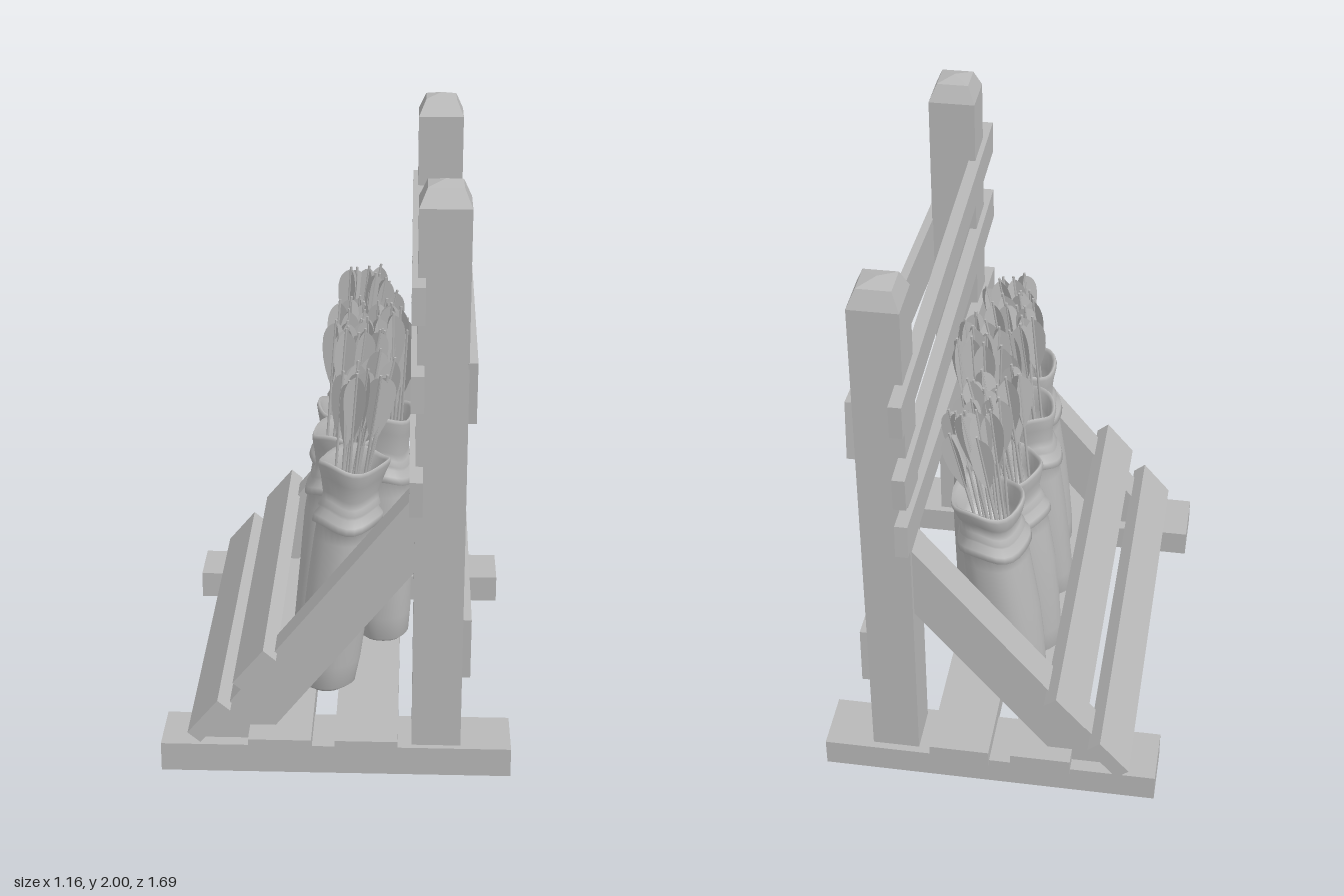
import * as THREE from 'three';
import { mergeVertices, mergeGeometries } from 'three/addons/utils/BufferGeometryUtils.js';

const gray = new THREE.MeshStandardMaterial({ color: 0xb8b8b8, side: THREE.DoubleSide });
gray.name = 'plain gray';

let seed = 11;
const rnd = () => (seed = (seed * 16807) % 2147483647) / 2147483647;

function add(parent, name, geo, x = 0, y = 0, z = 0) {
  const m = new THREE.Mesh(geo, gray);
  m.name = name;
  m.position.set(x, y, z);
  parent.add(m);
  return m;
}
const box = (w, h, d) => new THREE.BoxGeometry(w, h, d);

// Square post with bevelled, slightly peaked top
function postGeometry() {
  const profile = [[0, 0.1], [0.081, 0.1], [0.081, 1.925], [0.055, 1.985], [0, 2]]
    .map(([r, y]) => new THREE.Vector2(r * Math.SQRT2, y));
  const g = new THREE.LatheGeometry(profile, 4).rotateY(Math.PI / 4).toNonIndexed();
  g.computeVertexNormals();
  return g;
}

// Diagonal brace, outline in the x-y plane
function braceGeometry(depth) {
  const s = new THREE.Shape([[-0.46, 0.1], [-0.24, 0.1], [0.255, 0.72], [0.255, 0.99]]
    .map(([x, y]) => new THREE.Vector2(x, y)));
  return new THREE.ExtrudeGeometry(s, { depth, bevelEnabled: false }).translate(0, 0, -depth / 2);
}

// Horizontal offset of a leaning sack at height y
const leanAt = (s, y) => s.x0 + (s.x1 - s.x0) * (y - 0.15) / 0.83;

// Soft sack: body, cuff, tied neck, flared mouth and inside wall
function sackGeometry(s) {
  const n = s.neck;
  const t = s.top;
  const profile = [
    [0.001, 0.145], [0.07, 0.145], [0.094, 0.165], [0.102, 0.25], [0.108, 0.4], [0.111, 0.55],
    [0.107, n - 0.08], [0.104, n - 0.03], [0.121, n - 0.025], [0.118, n], [0.1, n + 0.022],
    [0.106, n + 0.035], [0.096, n + 0.055], [0.093, n + 0.08], [0.105, t - 0.06],
    [0.118, t - 0.015], [0.114, t], [0.102, t - 0.01], [0.088, t - 0.08], [0.08, n], [0.001, n],
  ].map(([r, y]) => new THREE.Vector2(r, y));
  let g = new THREE.LatheGeometry(profile, 28);
  g.deleteAttribute('uv');
  g.deleteAttribute('normal');
  g = mergeVertices(g, 1e-5);
  const p = g.attributes.position;
  for (let i = 0; i < p.count; i++) {
    const x = p.getX(i), y = p.getY(i), z = p.getZ(i);
    const a = Math.atan2(z, x);
    // Gentle creases, stronger around the cuff and mouth
    const k = s.size * (1 + 0.025 * Math.sin(2 * a + 7 * y + s.phase) + 0.02 * Math.sin(5 * a + s.phase));
    const dy = y > n - 0.04 ? 0.012 * Math.sin(3 * a + s.phase) : 0;
    p.setXYZ(i, leanAt(s, y) + x * k, y + dy, s.z + z * k);
  }
  g.computeVertexNormals();
  return g;
}

// One arrow: thin shaft with three leaf-shaped vanes, tip end at the origin
function arrowGeometry(length) {
  const parts = [new THREE.CylinderGeometry(0.005, 0.005, length, 5).translate(0, -length / 2, 0).toNonIndexed()];
  const leaf = new THREE.Shape();
  leaf.moveTo(0, -0.24);
  leaf.bezierCurveTo(0.025, -0.19, 0.045, -0.13, 0.042, -0.07);
  leaf.quadraticCurveTo(0.038, -0.02, 0, -0.01);
  for (let i = 0; i < 3; i++) {
    const v = new THREE.ShapeGeometry(leaf, 5).rotateY(i * Math.PI * 2 / 3);
    parts.push(v.toNonIndexed());
  }
  return mergeGeometries(parts);
}

function bundle(s) {
  const g = new THREE.Group();
  g.name = 'arrowSack';
  add(g, 'sack', sackGeometry(s));
  const up = new THREE.Vector3(0, 1, 0);
  const count = 13;
  for (let i = 0; i < count; i++) {
    const a = i * 2.4 + s.phase;
    const f = Math.sqrt((i + 0.5) / count);
    const tipY = s.top + 0.27 + 0.12 * rnd();
    const cx = Math.min(leanAt(s, tipY) + 0.01, 0.145);
    const base = new THREE.Vector3(leanAt(s, s.neck) + 0.06 * f * Math.cos(a), s.neck, s.z + 0.06 * f * Math.sin(a));
    const tip = new THREE.Vector3(Math.min(cx + 0.1 * f * Math.cos(a + 0.3), 0.22), tipY, s.z + 0.1 * f * Math.sin(a + 0.3));
    const dir = tip.clone().sub(base);
    const arrow = add(g, 'arrow', arrowGeometry(dir.length()), tip.x, tip.y, tip.z);
    arrow.quaternion.setFromUnitVectors(up, dir.normalize());
    arrow.rotateY(rnd() * 6.28);
  }
  return g;
}

export function createModel() {
  const model = new THREE.Group();
  model.name = 'arrowRack';

  // Feet, posts and braces at both ends
  for (const [footZ, postZ, braceZ] of [[0.645, 0.648, 0.643], [-0.66, -0.658, -0.658]]) {
    add(model, 'foot', box(1.16, 0.1, 0.21), 0, 0.05, footZ);
    add(model, 'post', postGeometry(), 0.332, 0, postZ);
    add(model, 'brace', braceGeometry(0.118), 0, 0, braceZ);
  }

  // Floor planks
  for (const x of [-0.182, 0.102]) add(model, 'floorPlank', box(0.207, 0.07, 1.58), x, 0.115, 0.01);

  // Tilted boards on the outside: centre height, height, slope
  for (const [y, h, slope] of [[1.402, 0.207, 0.088], [0.481, 0.212, 0.034]]) {
    add(model, 'outerBoard', box(0.03, h, 1.455), 0.425, y, -0.003).rotation.x = Math.atan(slope);
  }

  // Crooked rails on the inside
  for (const [y, slope] of [[1.63, -0.03], [1.35, -0.03], [1.082, 0.062]]) {
    add(model, 'innerRail', box(0.042, 0.118, 1.69), 0.254, y, -0.002).rotation.x = Math.atan(slope);
  }

  // Planks resting on the braces
  for (const [x, y] of [[-0.265, 0.374], [-0.418, 0.187]]) {
    add(model, 'slopedPlank', box(0.157, 0.055, 1.54), x, y, -0.017).rotation.z = 0.87;
  }

  // Sacks of arrows
  [
    { x0: -0.045, x1: 0.05, z: 0.39, neck: 0.79, top: 0.985, size: 1, phase: 0.4 },
    { x0: -0.085, x1: 0.015, z: 0.125, neck: 0.79, top: 0.985, size: 1, phase: 1.7 },
    { x0: 0.145, x1: 0.135, z: 0.015, neck: 0.8, top: 1.015, size: 0.98, phase: 2.9 },
    { x0: -0.085, x1: 0.015, z: -0.18, neck: 0.785, top: 0.965, size: 0.98, phase: 4.1 },
    { x0: -0.055, x1: 0.045, z: -0.435, neck: 0.86, top: 1.02, size: 1.07, phase: 5.2 },
  ].forEach((s) => model.add(bundle(s)));

  return model;
}
